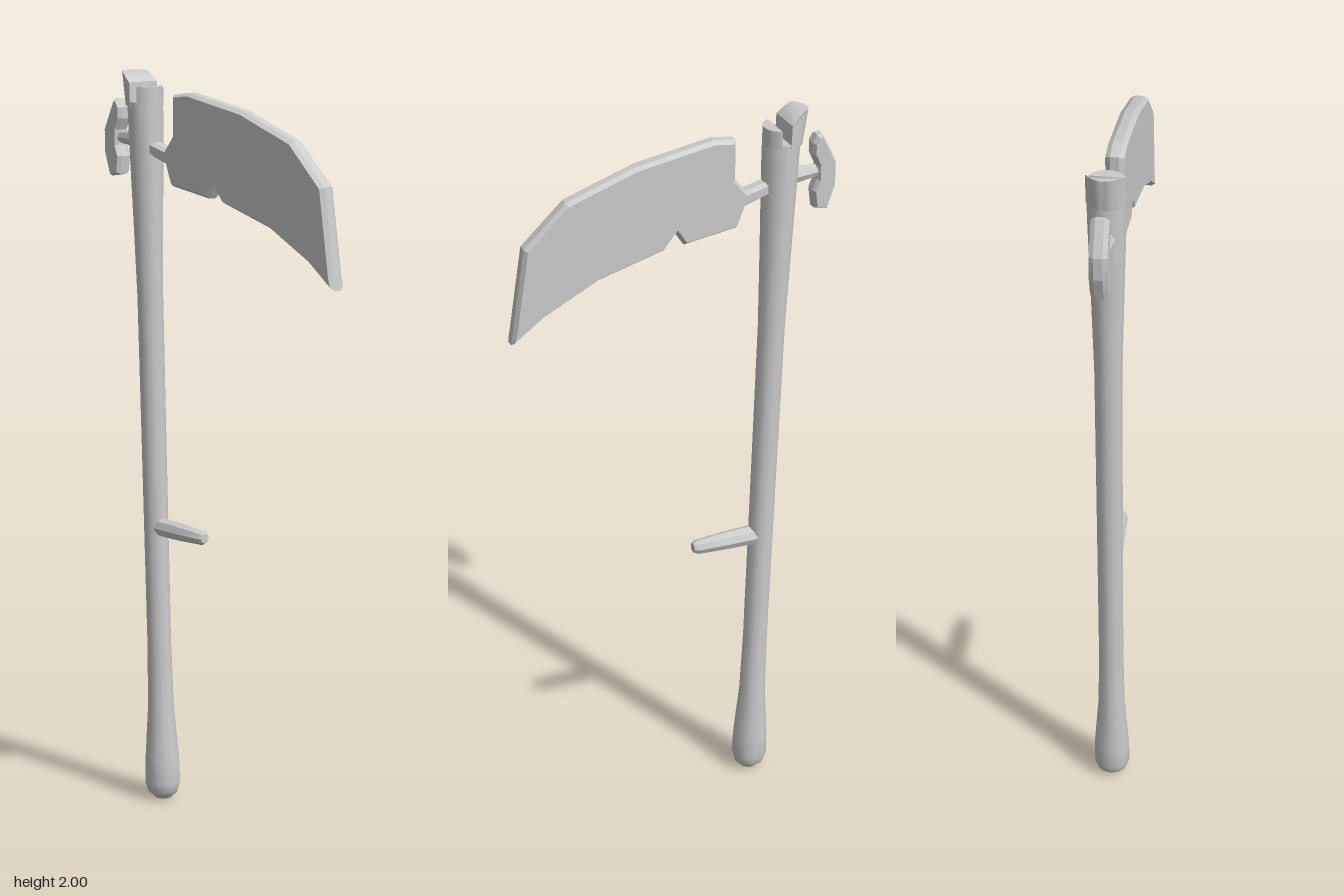
import * as THREE from 'three';
import { toCreasedNormals } from 'three/addons/utils/BufferGeometryUtils.js';

const material = new THREE.MeshStandardMaterial({ color: 0xcccccc });

// Centre line of the leaning shaft
const axisZ = (y) => -0.23 - 0.031 * y;

function part(name, geometry, crease = 0.6) {
  const mesh = new THREE.Mesh(toCreasedNormals(geometry, crease), material);
  mesh.name = name;
  return mesh;
}

function moveVertices(geometry, rule) {
  const p = geometry.attributes.position;
  const v = new THREE.Vector3();
  for (let i = 0; i < p.count; i++) {
    rule(v.fromBufferAttribute(p, i));
    p.setXYZ(i, v.x, v.y, v.z);
  }
  return geometry;
}

// Bevelled plate from a side outline of [z, y] points, centred on x = 0
function plate(name, outline, core, bevel, inset) {
  const shape = new THREE.Shape(outline.map(([z, y]) => new THREE.Vector2(z, y)));
  const geometry = new THREE.ExtrudeGeometry(shape, {
    depth: core, bevelThickness: bevel, bevelSize: inset, bevelOffset: -inset, bevelSegments: 1,
  });
  geometry.translate(0, 0, -core / 2).rotateY(-Math.PI / 2);
  return part(name, geometry, 0.3);
}

// Segment of the shaft's round top on one side of the slot
function crown(name, centreZ, radius, start, end, top, rule) {
  const shape = new THREE.Shape();
  shape.absarc(0, -centreZ, radius, start, end, false);
  const geometry = new THREE.ExtrudeGeometry(shape, { depth: top - 1.91, bevelEnabled: false, curveSegments: 10 });
  geometry.rotateX(-Math.PI / 2).translate(0, 1.91, 0);
  return part(name, rule ? moveVertices(geometry, rule) : geometry);
}

export function createModel() {
  const group = new THREE.Group();

  // Shaft with a swollen grip end and a flared head, sheared to lean back
  const profile = [
    [0, 0.004], [0.022, 0.006], [0.042, 0.025], [0.049, 0.05], [0.047, 0.12], [0.036, 0.27],
    [0.033, 0.45], [0.034, 1.0], [0.035, 1.4], [0.04, 1.6], [0.047, 1.85], [0.048, 1.92], [0, 1.92],
  ].map(([r, y]) => new THREE.Vector2(r, y));
  const shaft = new THREE.LatheGeometry(profile, 12);
  group.add(part('shaft', moveVertices(shaft, (v) => { v.z += axisZ(v.y); })));

  // Slotted top: low front segment and a raised lip at the back
  const topZ = axisZ(1.94);
  group.add(crown('frontCrown', topZ, 0.048, Math.PI * 1.12, Math.PI * 1.88, 1.96));
  group.add(crown('backLip', topZ - 0.005, 0.048, 0, Math.PI, 1.965, (v) => {
    if (v.y < 1.95) return;
    const rise = Math.min(1, Math.max(0, (topZ - v.z) / 0.028));
    v.y += 0.034 * rise;
    v.z -= 0.014 * rise;
  }));

  // Blade with a notched edge and a tang that enters the shaft
  group.add(plate('blade', [
    [0.442, 1.497], [0.437, 1.53], [0.402, 1.75], [0.29, 1.855], [0.106, 1.918], [-0.10, 1.953],
    [-0.16, 1.945], [-0.16, 1.84], [-0.19, 1.803], [-0.28, 1.825], [-0.28, 1.79], [-0.188, 1.762],
    [-0.166, 1.707], [-0.022, 1.686], [0, 1.722], [0.032, 1.68], [0.206, 1.632], [0.354, 1.557],
  ], 0.022, 0.012, 0.008));

  // Hammer plate behind the head, on a short neck
  group.add(plate('hammerPlate', [
    [-0.398, 1.922], [-0.424, 1.87], [-0.438, 1.84], [-0.438, 1.78], [-0.416, 1.715], [-0.38, 1.722],
    [-0.374, 1.77], [-0.386, 1.80], [-0.386, 1.84], [-0.372, 1.87], [-0.372, 1.90], [-0.384, 1.92],
  ], 0.022, 0.011, 0.006));
  const neck = new THREE.CylinderGeometry(0.014, 0.032, 0.12, 8);
  neck.rotateX(-Math.PI / 2).translate(0, 1.82, -0.34);
  group.add(part('hammerNeck', neck));

  // Side grip: a tapered peg with a rounded tip
  const pegProfile = [[0, 0], [0.027, 0], [0.025, 0.08], [0.02, 0.17], [0.014, 0.18], [0, 0.181]]
    .map(([r, y]) => new THREE.Vector2(r, y));
  const peg = new THREE.LatheGeometry(pegProfile, 8);
  peg.rotateX(Math.PI / 2).translate(0, 0.775, -0.235);
  group.add(part('handGrip', peg));

  return group;
}
